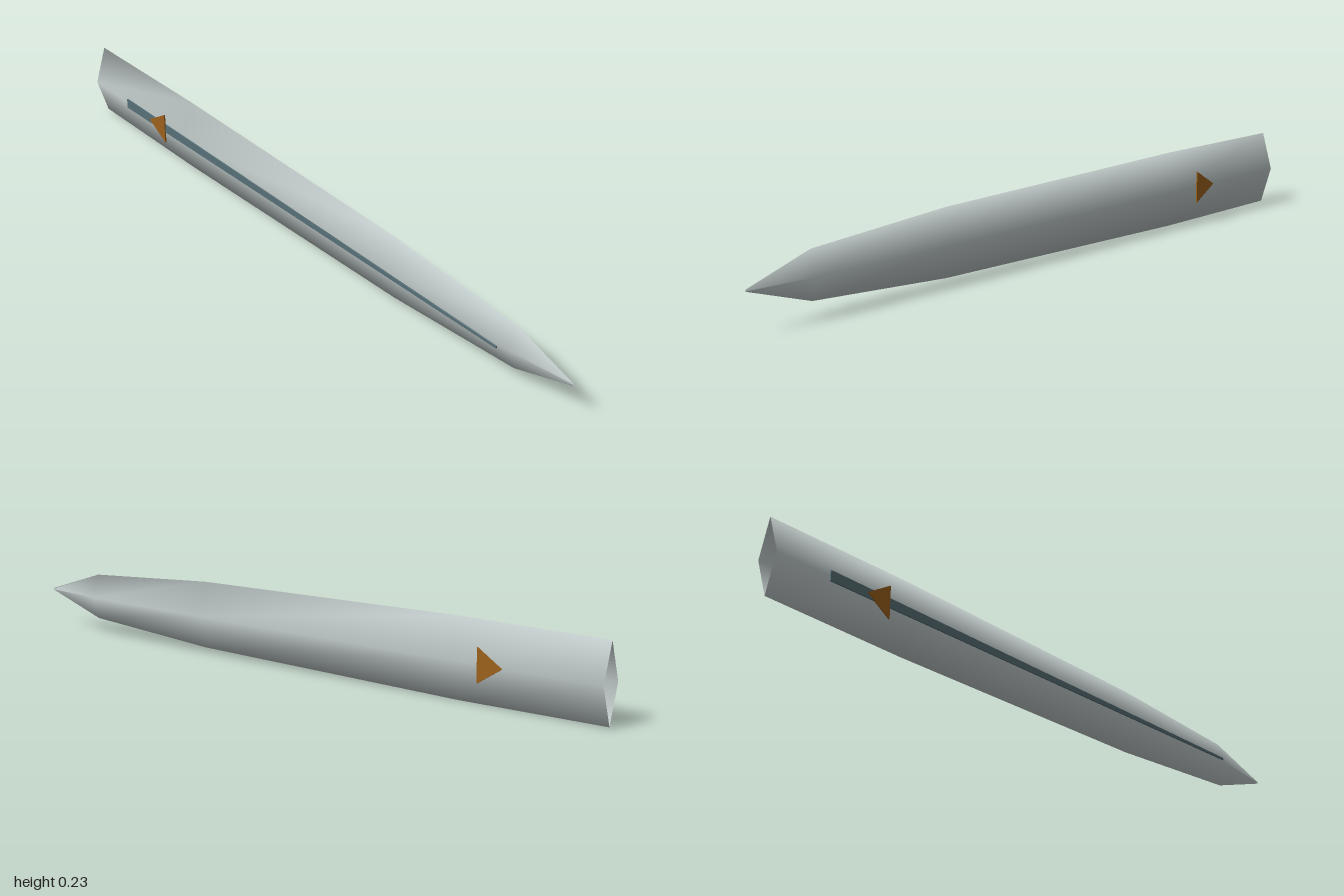
import * as THREE from 'three';

const MID = 0.115; // height of the blade's centre line

// Flat plate in the XY plane, centred on depth z
function plate(name, points, z, thickness, material) {
  const shape = new THREE.Shape(points.map(([x, y]) => new THREE.Vector2(x, y)));
  const geometry = new THREE.ExtrudeGeometry(shape, { depth: thickness, bevelEnabled: false });
  const mesh = new THREE.Mesh(geometry, material);
  mesh.position.set(0, MID, z - thickness / 2);
  mesh.name = name;
  return mesh;
}

// Hollow diamond-section loft along x; shared corners give soft ridges
function bladeGeometry() {
  const sections = [ // x, half height, half depth
    [-1, 0.11, 0.035], [-0.55, 0.113, 0.036], [0.35, 0.098, 0.033],
    [0.8, 0.068, 0.025], [1, 0.003, 0.002],
  ];
  const positions = [], index = [];
  sections.forEach(([x, h, d], s) => {
    positions.push(x, MID + h, 0, x, MID, d, x, MID - h, 0, x, MID, -d);
    if (s === sections.length - 1) return;
    for (let k = 0; k < 4; k++) {
      const a = s * 4 + k, b = s * 4 + (k + 1) % 4;
      index.push(a, b, a + 4, b, b + 4, a + 4);
    }
  });
  const geometry = new THREE.BufferGeometry();
  geometry.setAttribute('position', new THREE.Float32BufferAttribute(positions, 3));
  geometry.setIndex(index);
  geometry.computeVertexNormals();
  return geometry;
}

export function createModel() {
  const steel = new THREE.MeshStandardMaterial({ color: 0xc0c9c9, side: THREE.DoubleSide });
  steel.name = 'pale steel';
  const slate = new THREE.MeshStandardMaterial({ color: 0x587078 });
  slate.name = 'slate blue';
  const bronze = new THREE.MeshStandardMaterial({ color: 0x9c611c });
  bronze.name = 'bronze';

  const model = new THREE.Group();
  model.name = 'blade';

  const body = new THREE.Mesh(bladeGeometry(), steel);
  body.name = 'bladeBody';
  model.add(body);

  // Tapered groove strip on the front face only
  model.add(plate('grooveStrip',
    [[-0.83, -0.015], [0.77, -0.003], [0.77, 0.003], [-0.83, 0.015]], 0.038, 0.004, slate));

  // Triangular marks on both faces, pointing to the open end
  for (const [name, z] of [['frontMark', 0.041], ['backMark', -0.041]]) {
    model.add(plate(name, [[-0.708, 0], [-0.632, -0.048], [-0.632, 0.048]], z, 0.004, bronze));
  }
  return model;
}
